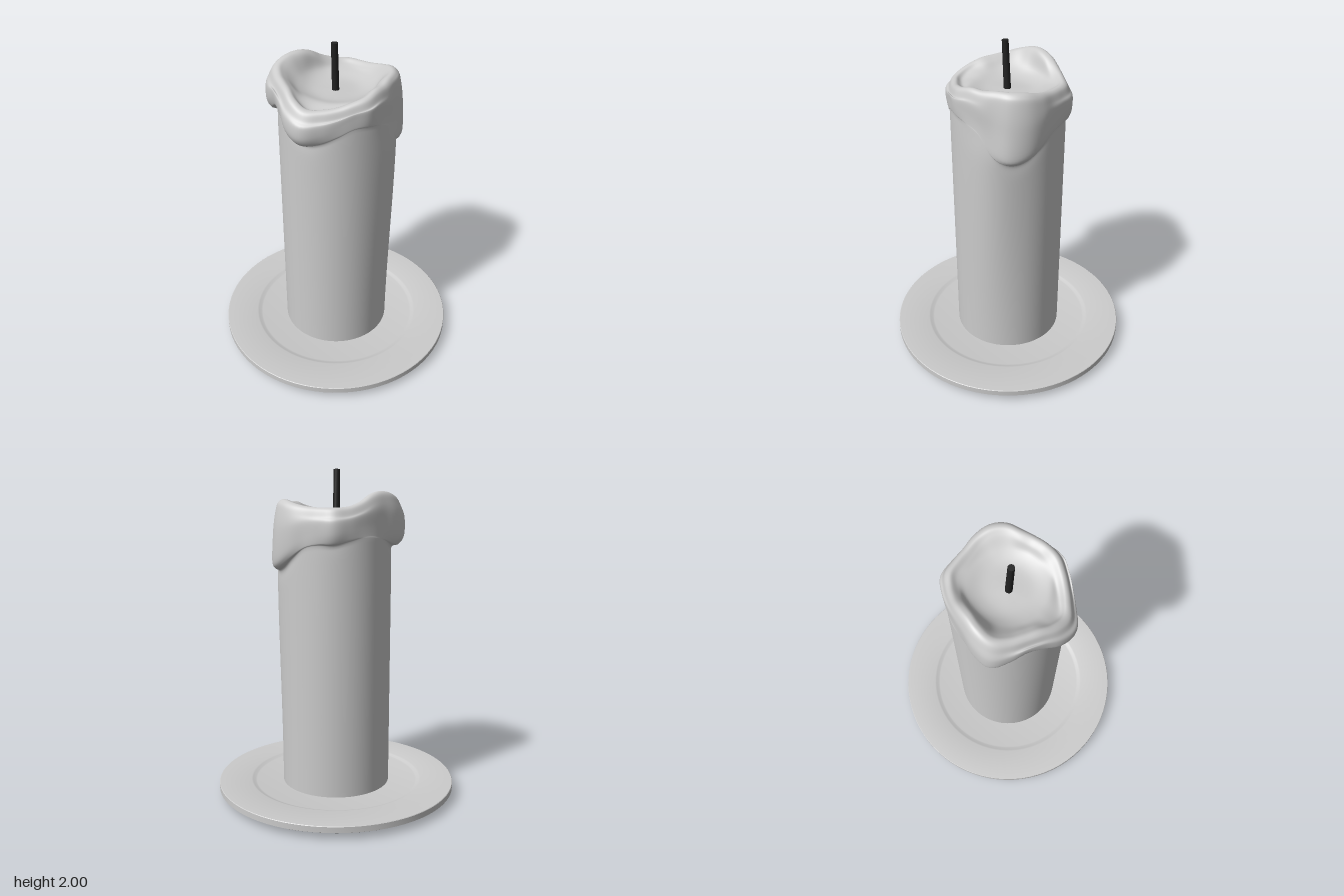
import * as THREE from 'three';
import { mergeVertices, toCreasedNormals } from 'three/addons/utils/BufferGeometryUtils.js';

const BODY_R = 0.335, BASE_Y = 0.06, POOL_Y = 1.72;

// One value every 15 degrees, from +x towards +z.
const RIM_RADIUS = [
  0.333, 0.335, 0.348, 0.34, 0.345, 0.37, 0.41, 0.395, 0.365, 0.362, 0.385, 0.41,
  0.38, 0.343, 0.332, 0.335, 0.35, 0.37, 0.35, 0.345, 0.37, 0.388, 0.38, 0.342];
const CREST_Y = [
  1.81, 1.81, 1.79, 1.77, 1.75, 1.74, 1.74, 1.77, 1.80, 1.81, 1.82, 1.84,
  1.865, 1.87, 1.85, 1.81, 1.785, 1.78, 1.78, 1.785, 1.80, 1.82, 1.825, 1.82];
const LIP_Y = [
  1.58, 1.62, 1.64, 1.64, 1.60, 1.56, 1.54, 1.56, 1.63, 1.67, 1.62, 1.565,
  1.57, 1.60, 1.62, 1.62, 1.60, 1.58, 1.58, 1.56, 1.50, 1.44, 1.42, 1.46];

// Smooth periodic lookup in one of the tables above.
function around(table, angle) {
  const n = table.length;
  const u = ((angle / (2 * Math.PI)) % 1 + 1) % 1 * n;
  const i = Math.floor(u), t = u - i;
  const [a, b, c, d] = [-1, 0, 1, 2].map(k => table[(i + k + n) % n]);
  return b + 0.5 * t * (c - a + t * (2 * a - 5 * b + 4 * c - d + t * (3 * (b - c) + d - a)));
}

// Candle outline at one angle: straight body, overhanging wax lip, crest, melted pool.
function waxProfile(angle) {
  const R = around(RIM_RADIUS, angle), C = around(CREST_Y, angle), L = around(LIP_Y, angle);
  const out = R - BODY_R;
  return new THREE.SplineCurve([
    [BODY_R, BASE_Y], [BODY_R, 0.5], [BODY_R, 1.0], [BODY_R, L - 0.12], [BODY_R, L - 0.02],
    [BODY_R + out * 0.6, L], [R, L + 0.05], [R, (L + C) / 2 + 0.02],
    [R - 0.01 - out * 0.2, C - 0.05], [R - 0.025 - out * 0.3, C - 0.012],
    [R - 0.05 - out * 0.4, C], [R - 0.085 - out * 0.4, C - 0.02],
    [0.215, POOL_Y + 0.022 + (C - 1.78) * 0.2], [0.13, POOL_Y], [0, POOL_Y],
  ].map(p => new THREE.Vector2(...p)));
}

// Wax run down the side, thickest at 1.4 and fading towards the foot.
function waxRun(angle, y) {
  const d = Math.atan2(Math.sin(angle + 0.2), Math.cos(angle + 0.2)) / 0.42;
  const fall = y < 1.4 ? Math.max(0, (y - 0.1) / 1.3) : Math.max(0, 1 - (y - 1.4) / 0.25);
  return 0.021 * Math.exp(-d * d) * fall * fall * (3 - 2 * fall);
}

function candleGeometry() {
  const rows = 84, segments = 120;
  const blank = Array.from({ length: rows + 1 }, (_, j) => new THREE.Vector2(1, j));
  const geo = new THREE.LatheGeometry(blank, segments);
  const pos = geo.attributes.position;
  for (let i = 0; i <= segments; i++) {
    const angle = Math.PI / 2 - (i % segments) / segments * 2 * Math.PI;
    const profile = waxProfile(angle);
    for (let j = 0; j <= rows; j++) {
      const p = profile.getPoint(j / rows);
      const r = j === rows ? 0 : p.x + (j < rows * 0.6 ? waxRun(angle, p.y) : 0);
      pos.setXYZ(i * (rows + 1) + j, r * Math.cos(angle), p.y, r * Math.sin(angle));
    }
  }
  geo.deleteAttribute('normal');
  geo.deleteAttribute('uv');
  const merged = mergeVertices(geo);
  merged.computeVertexNormals();
  return merged;
}

export function createModel() {
  const group = new THREE.Group();
  const add = (name, geometry, color = 0xcccccc) => {
    const mesh = new THREE.Mesh(geometry, new THREE.MeshStandardMaterial({ color }));
    mesh.name = name;
    group.add(mesh);
    return mesh;
  };

  // Plate with a stepped foot and a shallow recess
  const plate = [
    [0, 0.005], [0.52, 0.005], [0.53, 0], [0.54, 0.005], [0.56, 0.036], [0.735, 0.04], [0.74, 0.043],
    [0.74, 0.077], [0.737, 0.08], [0.54, 0.08], [0.53, 0.077], [0.515, 0.07], [0.505, 0.068], [0, 0.068],
  ].map(p => new THREE.Vector2(...p));
  add('plate', toCreasedNormals(new THREE.LatheGeometry(plate, 80), 0.6));

  // Melted candle
  add('candle', candleGeometry());

  // Leaning wick
  const wickPath = new THREE.LineCurve3(new THREE.Vector3(0, 1.69, 0.003), new THREE.Vector3(0, 2, 0.018));
  const wick = add('wick', new THREE.CylinderGeometry(0.019, 0.021, wickPath.getLength(), 16), 0x222222);
  wickPath.getPoint(0.5, wick.position);
  wick.quaternion.setFromUnitVectors(new THREE.Vector3(0, 1, 0), wickPath.getTangent(0));

  return group;
}
